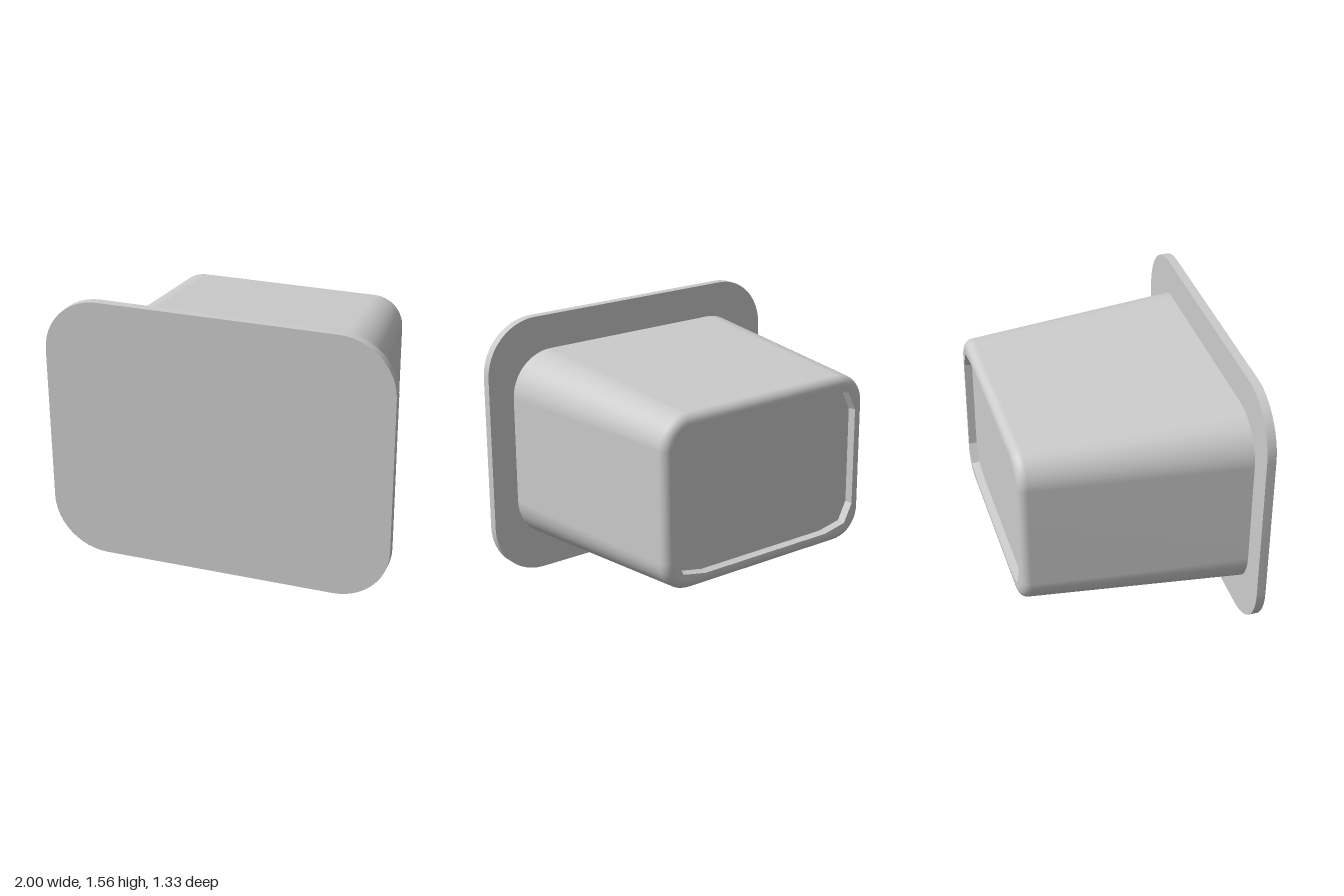
import * as THREE from 'three';
import { toCreasedNormals } from 'three/addons/utils/BufferGeometryUtils.js';

const CENTRE_Y = 0.78;
const BACK = -0.667;

// Rounded rectangle outline, counter-clockwise, from half sizes and corner radius
function roundedRect(hw, hh, r, steps = 12) {
  const points = [];
  for (let corner = 0; corner < 4; corner++) {
    const sx = corner === 0 || corner === 3 ? 1 : -1;
    const sy = corner < 2 ? 1 : -1;
    for (let i = 0; i <= steps; i++) {
      const a = (corner + i / steps) * Math.PI / 2;
      points.push(new THREE.Vector2(sx * (hw - r) + r * Math.cos(a), sy * (hh - r) + r * Math.sin(a)));
    }
  }
  return points;
}

// Skin through rings of equal point count, each { points, z }
function loft(rings) {
  const n = rings[0].points.length;
  const position = [];
  const index = [];
  rings.forEach(({ points, z }) => points.forEach((p) => position.push(p.x, p.y, z)));
  for (let r = 0; r < rings.length - 1; r++) {
    for (let j = 0; j < n; j++) {
      const a = r * n + j;
      const b = r * n + (j + 1) % n;
      index.push(a, a + n, b, b, a + n, b + n);
    }
  }
  const geometry = new THREE.BufferGeometry();
  geometry.setAttribute('position', new THREE.Float32BufferAttribute(position, 3));
  geometry.setIndex(index);
  geometry.computeVertexNormals();
  return geometry;
}

export function createModel() {
  const group = new THREE.Group();
  const material = new THREE.MeshStandardMaterial({ color: 0xcccccc });
  const add = (name, geometry) => {
    const mesh = new THREE.Mesh(geometry, material);
    mesh.name = name;
    mesh.position.y = CENTRE_Y;
    group.add(mesh);
  };

  // Flat lid flange at the front
  const flange = new THREE.ExtrudeGeometry(new THREE.Shape(roundedRect(1, 0.78, 0.32)), {
    depth: 0.052, bevelEnabled: false,
  });
  flange.translate(0, 0, 0.615);
  add('flange', toCreasedNormals(flange, 0.6));

  // Tapered tub body, ending in a rounded back edge
  const edge = 0.055;
  const rings = [{ points: roundedRect(0.84, 0.577, 0.26), z: 0.615 }];
  for (let i = 0; i <= 6; i++) {
    const a = i / 6 * Math.PI / 2;
    const inset = edge * (1 - Math.cos(a));
    rings.push({
      points: roundedRect(0.715 - inset, 0.503 - inset, 0.18 - inset),
      z: BACK + edge * (1 - Math.sin(a)),
    });
  }
  add('body', loft(rings));

  // Recess outline with faceted corners
  const quarter = [[0.645, 0.29], [0.59, 0.4], [0.44, 0.43]];
  const recess = [];
  for (const [sx, sy] of [[1, 1], [-1, 1], [-1, -1], [1, -1]]) {
    const corner = quarter.map(([x, y]) => new THREE.Vector2(sx * x, sy * y));
    recess.push(...(sx * sy > 0 ? corner : corner.reverse()));
  }

  // Flat rim around the recess
  const rimShape = new THREE.Shape(rings[rings.length - 1].points);
  rimShape.holes.push(new THREE.Path(recess));
  add('backRim', new THREE.ShapeGeometry(rimShape).rotateY(Math.PI).translate(0, 0, BACK));

  // Recess walls and sunken back panel
  const floorZ = BACK + 0.045;
  const floor = recess.map((p) => new THREE.Vector2(p.x * 0.99, p.y * 0.985));
  add('recessWall', toCreasedNormals(loft([{ points: recess, z: BACK }, { points: floor, z: floorZ }]), 0.3));
  add('backPanel', new THREE.ShapeGeometry(new THREE.Shape(floor)).rotateY(Math.PI).translate(0, 0, floorZ));

  return group;
}
